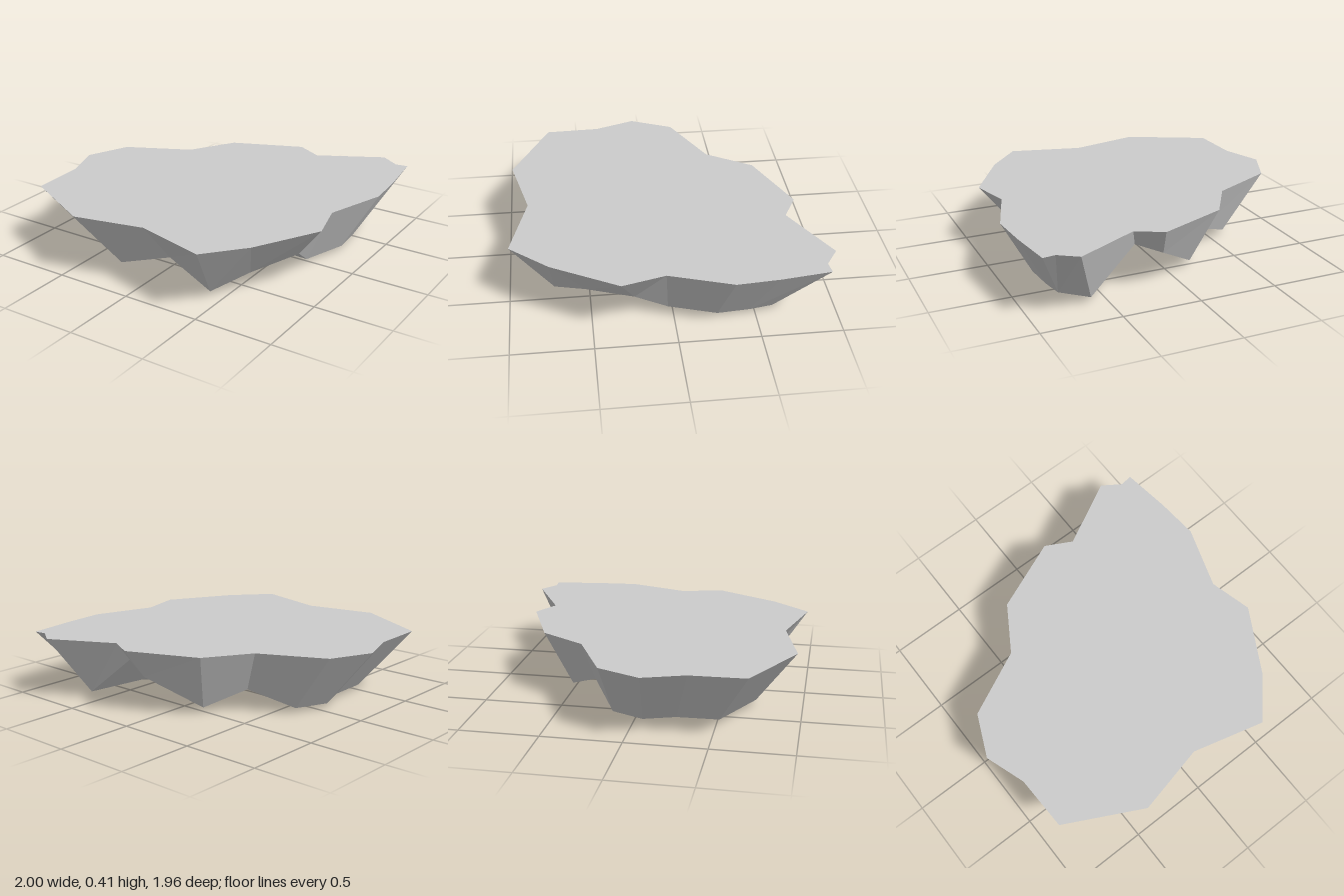
import * as THREE from 'three';

const TOP_Y = 0.405;

// Rim outline [x, z], clockwise seen from above
const RIM = [
  [-1, 0.1], [-0.88, -0.17], [-0.47, -0.37], [-0.29, -0.66], [0.16, -0.85],
  [0.33, -0.76], [0.74, -0.98], [0.86, -0.9], [0.94, -0.91], [0.98, -0.6],
  [1, -0.33], [0.87, 0.06], [0.94, 0.33], [0.71, 0.74], [0.5, 0.98],
  [0.04, 0.86], [-0.41, 0.96], [-0.9, 0.71], [-0.91, 0.36],
];

// Foot of the sloping flank: the rim drawn inwards to y = 0.03, except these corners
const FOOT = {
  2: [-0.36, 0.14, -0.31], 4: [0.12, 0.22, -0.73], 5: [0.29, 0.29, -0.69],
  7: [0.75, 0.03, -0.61], 8: [0.75, 0.03, -0.61], 12: [0.75, 0.17, 0.24],
  13: [0.58, 0.12, 0.53], 15: [0.12, 0.17, 0.71],
};

// Hollow under the island, the core hanging from it, and the hollow corner each foot corner joins
const HOLLOW = [
  [-0.38, 0.18, 0], [-0.3, 0.18, -0.18], [-0.05, 0.25, -0.3], [0.15, 0.17, -0.25],
  [0.36, 0.03, -0.15], [0.3, 0.14, 0.2], [0.14, 0.19, 0.27], [-0.12, 0.14, 0.4],
  [-0.3, 0.19, 0.25],
];
const CORE = [
  [-0.18, 0, 0.08], [-0.15, 0, 0.04], [-0.08, 0, 0.02], [0.02, 0, 0.01],
  [0.12, 0, 0.05], [0.12, 0, 0.18], [0.12, 0, 0.24], [-0.13, 0, 0.24],
  [-0.18, 0, 0.18],
];
const JOIN = [0, 1, 1, 2, 2, 3, 3, 3, 4, 4, 4, 4, 5, 5, 6, 6, 7, 8, 8];

const same = (a, b) => a.every((v, i) => v === b[i]);

// Triangles between two closed rings of equal length, skipping collapsed ones
function bridge(upper, lower) {
  const out = [];
  const add = (a, b, c) => {
    if (!same(a, b) && !same(b, c) && !same(a, c)) out.push(...a, ...b, ...c);
  };
  upper.forEach((a, i) => {
    const j = (i + 1) % upper.length;
    add(a, upper[j], lower[j]);
    add(a, lower[j], lower[i]);
  });
  return out;
}

function makeMesh(name, positions) {
  const geometry = new THREE.BufferGeometry();
  geometry.setAttribute('position', new THREE.Float32BufferAttribute(positions, 3));
  geometry.computeVertexNormals();
  const material = new THREE.MeshStandardMaterial({ color: 0xcccccc, flatShading: true });
  const mesh = new THREE.Mesh(geometry, material);
  mesh.name = name;
  return mesh;
}

export function createModel() {
  const group = new THREE.Group();
  group.name = 'floatingRock';

  const rim = RIM.map(([x, z]) => [x, TOP_Y, z]);
  const foot = RIM.map(([x, z], i) => FOOT[i] ?? [x * 0.745 + 0.045, 0.03, z * 0.75 - 0.015]);
  const hollow = JOIN.map((k) => HOLLOW[k]);
  const centre = CORE.map(() => [-0.02, 0, 0.13]);

  // Flat top, wound to face up
  const outline = RIM.map(([x, z]) => new THREE.Vector2(x, z));
  const top = [];
  for (const [a, b, c] of THREE.ShapeUtils.triangulateShape(outline, [])) {
    const area = outline[b].clone().sub(outline[a]).cross(outline[c].clone().sub(outline[a]));
    for (const k of area < 0 ? [a, b, c] : [a, c, b]) top.push(...rim[k]);
  }
  group.add(makeMesh('flatTop', top));

  // Faceted flanks, hollow underside and the blunt core
  group.add(makeMesh('rockFlank', bridge(rim, foot)));
  group.add(makeMesh('underside', bridge(foot, hollow)));
  group.add(makeMesh('coreSides', bridge(HOLLOW, CORE)));
  group.add(makeMesh('coreTip', bridge(CORE, centre)));
  return group;
}
